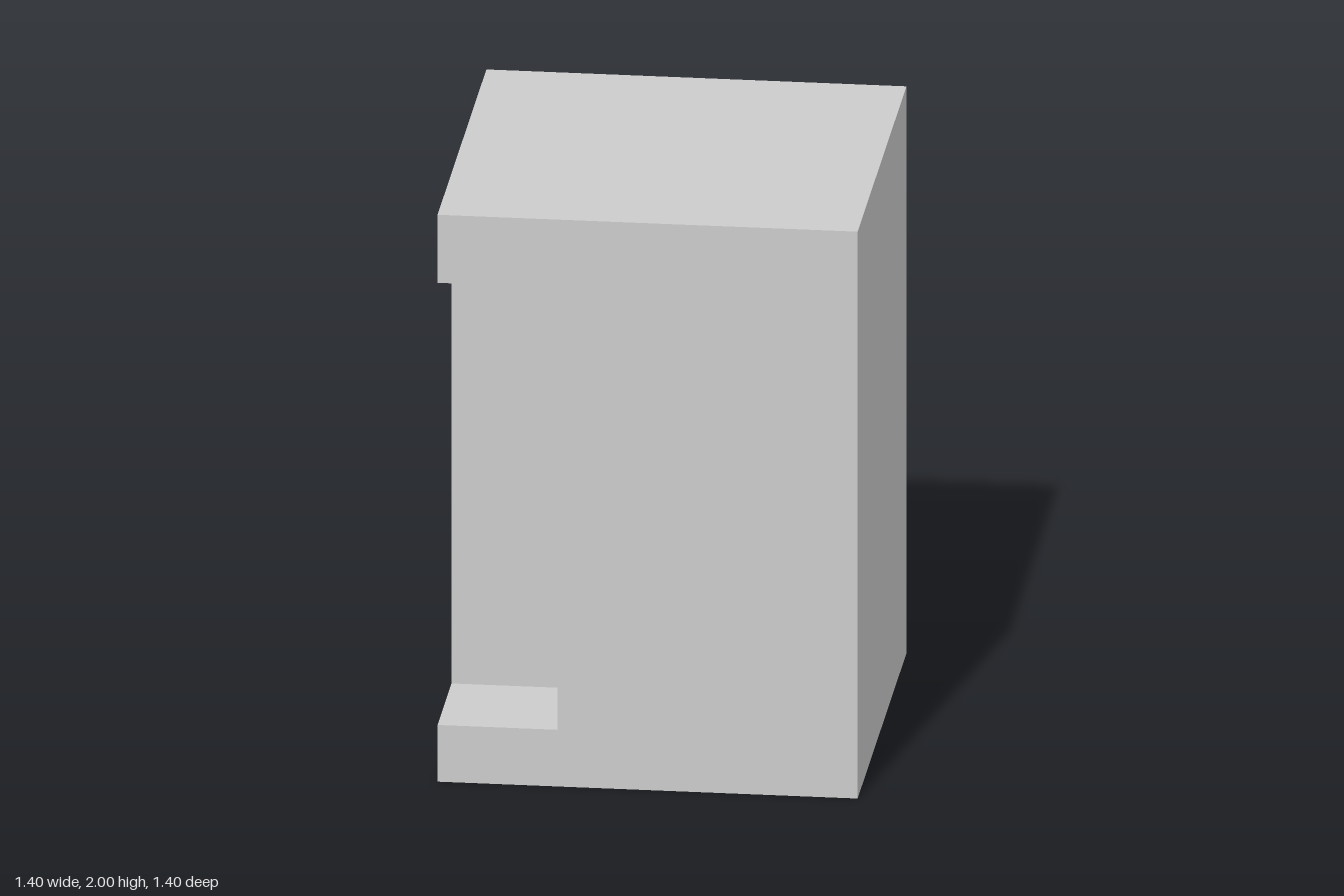
import * as THREE from 'three';
import { mergeGeometries } from 'three/addons/utils/BufferGeometryUtils.js';

const H = 2, W = 0.7;                        // height, half width
const IN = 0.3, LOW = 0.2, HIGH = 1.76;      // notch inner edge, floor and ceiling

const X = new THREE.Vector3(1, 0, 0);
const Y = new THREE.Vector3(0, 1, 0);
const Z = new THREE.Vector3(0, 0, 1);
const neg = (v) => v.clone().negate();

// Flat face with 2D axes u and v, pushed out along its normal u x v
function face(points, u, v, offset) {
  const shape = new THREE.Shape(points.map(([a, b]) => new THREE.Vector2(a, b)));
  const n = new THREE.Vector3().crossVectors(u, v);
  const m = new THREE.Matrix4().makeBasis(u, v, n).setPosition(n.clone().multiplyScalar(offset));
  return new THREE.ShapeGeometry(shape).applyMatrix4(m);
}

const rect = (a0, b0, a1, b1) => [[a0, b0], [a1, b0], [a1, b1], [a0, b1]];

export function createModel() {
  const group = new THREE.Group();
  group.name = 'notchedBlock';

  // C-shaped outline shared by the two sides that the corner notch cuts
  const cut = [[-W, 0], [W, 0], [W, H], [-W, H], [-W, HIGH], [-IN, HIGH], [-IN, LOW], [-W, LOW]];
  const cutMirrored = cut.map(([a, b]) => [-a, b]).reverse();
  const side = rect(-W, 0, W, H);
  const cap = rect(-W, -W, W, W);

  const geometry = mergeGeometries([
    // Outer walls
    face(cut, X, Y, W),
    face(cutMirrored, Z, Y, W),
    face(side, neg(X), Y, W),
    face(side, neg(Z), Y, W),
    // Top and bottom
    face(cap, X, neg(Z), H),
    face(cap, X, Z, 0),
    // Notch walls
    face(rect(-W, LOW, -IN, HIGH), X, Y, IN),
    face(rect(IN, LOW, W, HIGH), Z, Y, IN),
    // Notch floor and ceiling
    face(rect(-W, -W, -IN, -IN), X, neg(Z), LOW),
    face(rect(-W, IN, -IN, W), X, Z, -HIGH),
  ]);

  const block = new THREE.Mesh(
    geometry,
    new THREE.MeshStandardMaterial({ color: 0xcccccc, flatShading: true }),
  );
  block.name = 'blockWithCornerNotch';
  group.add(block);
  return group;
}
